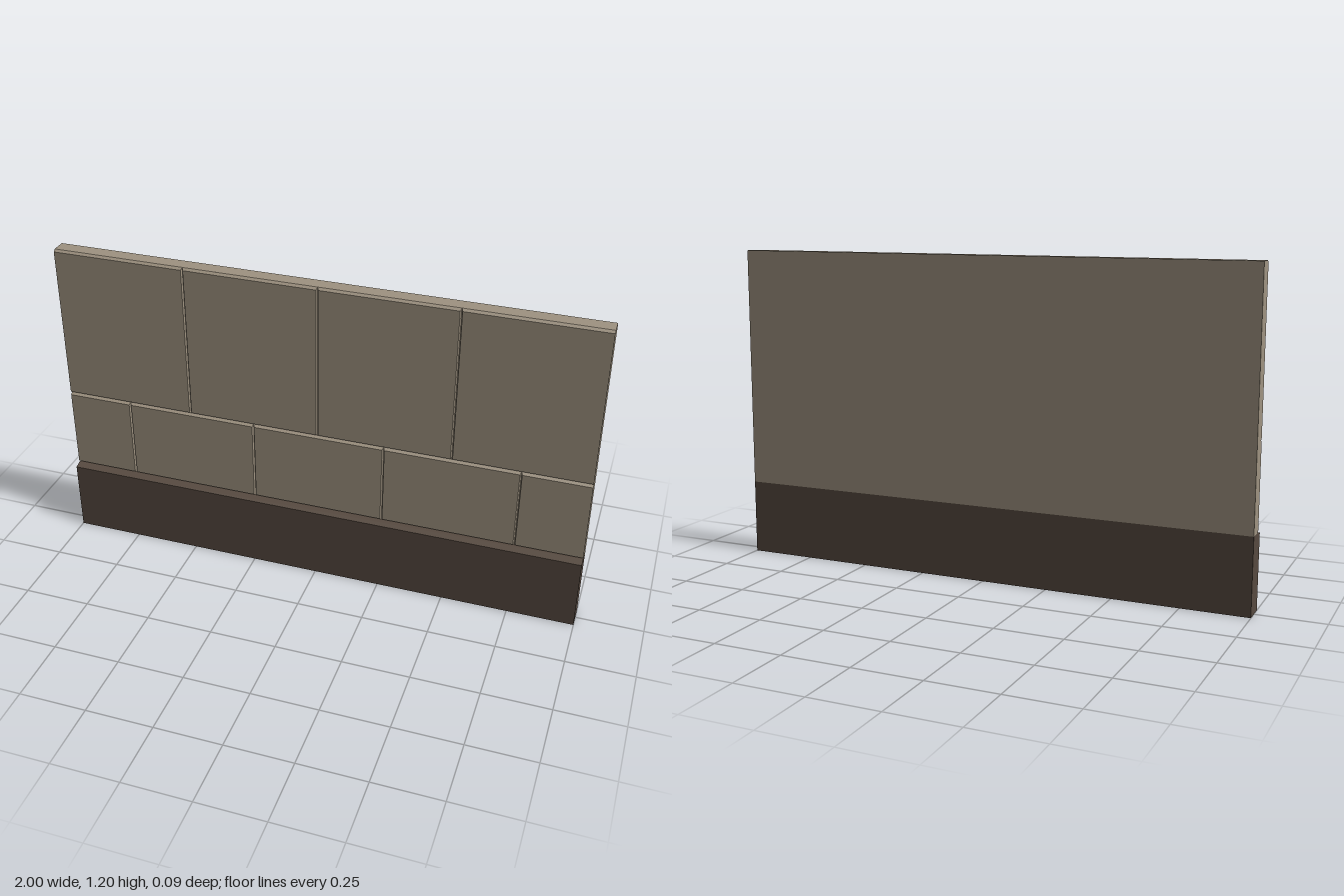
import * as THREE from 'three';

const BACK = -0.045, CORE = 0.009, BASE_TOP = 0.284, COURSE = 0.603, TOP = 1.2;

export function createModel() {
  const stone = new THREE.MeshStandardMaterial({ color: 0x9f9381 });
  stone.name = 'stone';
  const darkStone = new THREE.MeshStandardMaterial({ color: 0x574a40 });
  darkStone.name = 'darkStone';
  const wall = new THREE.Group();
  wall.name = 'wallPanel';

  const add = (name, geometry, material) => {
    const mesh = new THREE.Mesh(geometry, material);
    mesh.name = name;
    wall.add(mesh);
  };

  // Box whose front corners are pulled in on the chosen sides to form chamfers
  const chamferedSlab = (x0, x1, y0, y1, z0, z1, inset) => {
    const g = new THREE.BoxGeometry(x1 - x0, y1 - y0, z1 - z0).toNonIndexed();
    g.translate((x0 + x1) / 2, (y0 + y1) / 2, (z0 + z1) / 2);
    const p = g.attributes.position;
    for (let i = 0; i < p.count; i++) {
      if (p.getZ(i) < (z0 + z1) / 2) continue;
      const left = p.getX(i) < (x0 + x1) / 2, low = p.getY(i) < (y0 + y1) / 2;
      p.setX(i, p.getX(i) + (left ? inset.left : -inset.right));
      p.setY(i, p.getY(i) + (low ? inset.bottom : -inset.top));
    }
    g.computeVertexNormals();
    return g;
  };

  // Backing slab, seen at the bottom of the joints
  const core = new THREE.BoxGeometry(2, TOP - BASE_TOP, CORE - BACK);
  core.translate(0, (BASE_TOP + TOP) / 2, (BACK + CORE) / 2);
  add('backing', core, stone);

  // One course of slabs between the listed joints; outer ends stay flush
  const course = (name, joints, y0, y1, front) => {
    const edges = [-1, ...joints, 1];
    for (let i = 0; i < edges.length - 1; i++) {
      const first = i === 0, last = i === edges.length - 2;
      add(name + (i + 1), chamferedSlab(
        edges[i] + (first ? 0 : 0.001), edges[i + 1] - (last ? 0 : 0.001),
        y0, y1, CORE, front,
        { left: first ? 0 : 0.003, right: last ? 0 : 0.003, bottom: 0.006, top: 0.008 }
      ), stone);
    }
  };
  course('lowerSlab', [-0.75, -0.25, 0.25, 0.75], BASE_TOP, COURSE, 0.019);
  course('upperSlab', [-0.5, 0, 0.5], COURSE, TOP, 0.018);

  // Skirting with a sloped top ledge
  const section = new THREE.Shape([
    [-BACK, 0], [-BACK, BASE_TOP], [-0.018, BASE_TOP], [-0.045, 0.276], [-0.045, 0]
  ].map(([x, y]) => new THREE.Vector2(x, y)));
  const skirting = new THREE.ExtrudeGeometry(section, { depth: 2, bevelEnabled: false });
  skirting.translate(0, 0, -1).rotateY(Math.PI / 2);
  add('skirting', skirting, darkStone);

  return wall;
}
